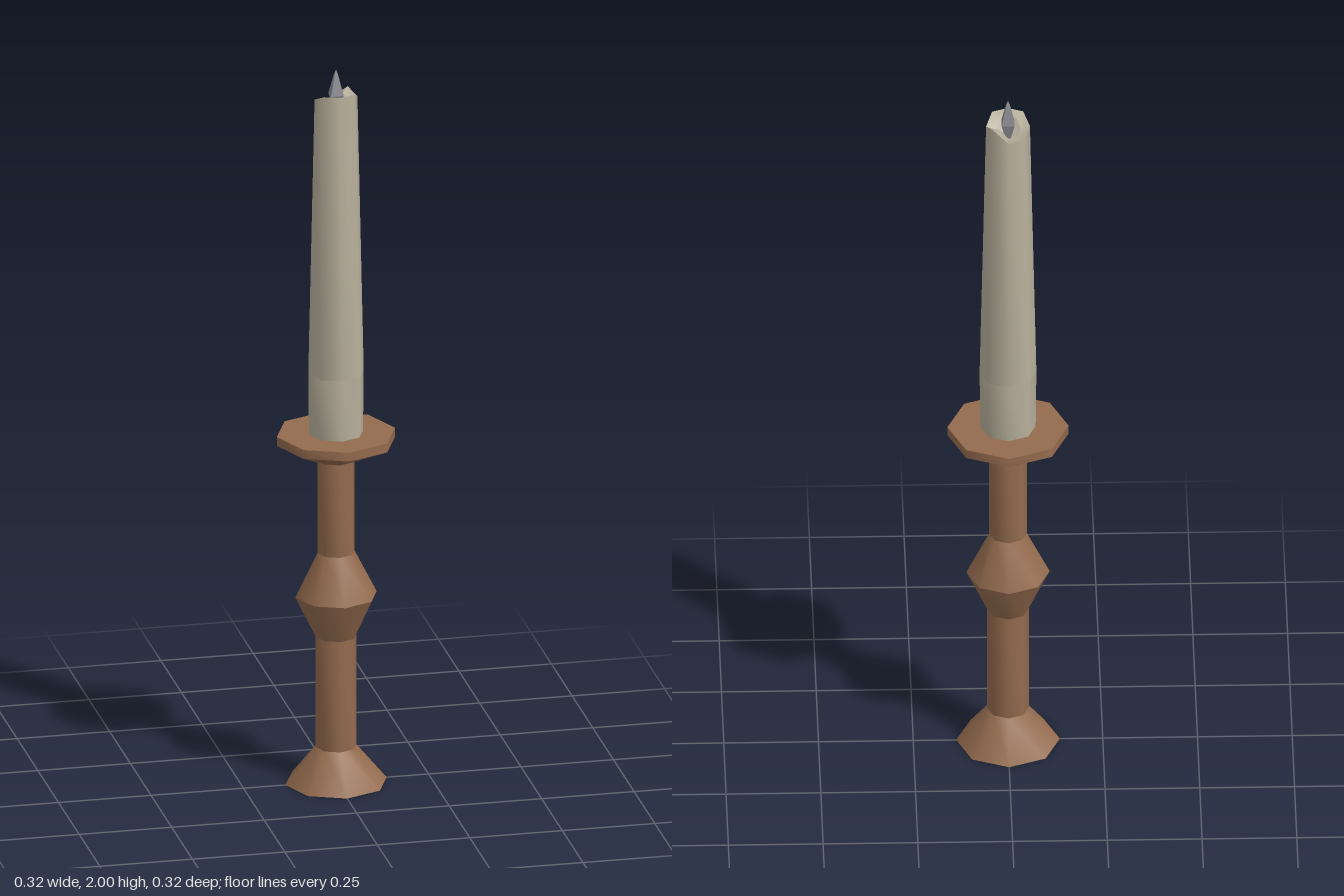
import * as THREE from 'three';
import { mergeGeometries, toCreasedNormals } from 'three/addons/utils/BufferGeometryUtils.js';

const SIDES = 8;

// Turned solid: each band is smooth around the axis, with a sharp edge between bands.
// reshape may adjust the y of a point by (x, y, z).
function turned(profile, reshape) {
  const bands = [];
  for (let i = 0; i < profile.length - 1; i++) {
    const ends = [profile[i], profile[i + 1]].map(([r, y]) => new THREE.Vector2(r, y));
    const band = new THREE.LatheGeometry(ends, SIDES);
    const pos = band.attributes.position;
    if (reshape) {
      for (let v = 0; v < pos.count; v++) {
        pos.setY(v, reshape(pos.getX(v), pos.getY(v), pos.getZ(v)));
      }
    }
    bands.push(toCreasedNormals(band, 0.95));
  }
  return mergeGeometries(bands);
}

function part(name, geometry, color, flatShading = false) {
  const mesh = new THREE.Mesh(geometry, new THREE.MeshStandardMaterial({ color, flatShading }));
  mesh.name = name;
  return mesh;
}

export function createModel() {
  const group = new THREE.Group();
  group.name = 'candlestick';

  // Wooden holder: flared foot, stem, knop, neck and drip plate
  group.add(part('holder', turned([
    [0, 0], [0.137, 0], [0.055, 0.1], [0.055, 0.41], [0.11, 0.525],
    [0.05, 0.645], [0.05, 0.905], [0.16, 0.955], [0.16, 0.98], [0, 0.98],
  ]), 0x946b4e));

  // Candle: tapering wax with an unevenly melted rim, lowest at the back
  const rimDrop = [0, 0, 0.02, 0.005, 0.038, 0.04, 0.02, 0]; // from +z round through +x
  const melt = (x, y, z) => {
    if (y < 1.91) return y;
    const step = Math.round(Math.atan2(x, z) / (Math.PI / 4));
    return y - rimDrop[(step + SIDES) % SIDES];
  };
  group.add(part('candle', turned([
    [0.073, 0.975], [0.075, 1.15], [0.058, 1.94], [0.033, 1.93], [0, 1.885],
  ], melt), 0xb8b09c));

  // Wick: four-sided spike, narrow at the root
  const wickProfile = [[0.01, 1.885], [0.024, 1.93], [0.007, 1.985], [0, 2]]
    .map(([r, y]) => new THREE.Vector2(r, y));
  group.add(part('wick', new THREE.LatheGeometry(wickProfile, 4, Math.PI / 4), 0x8a8a92, true));

  return group;
}
